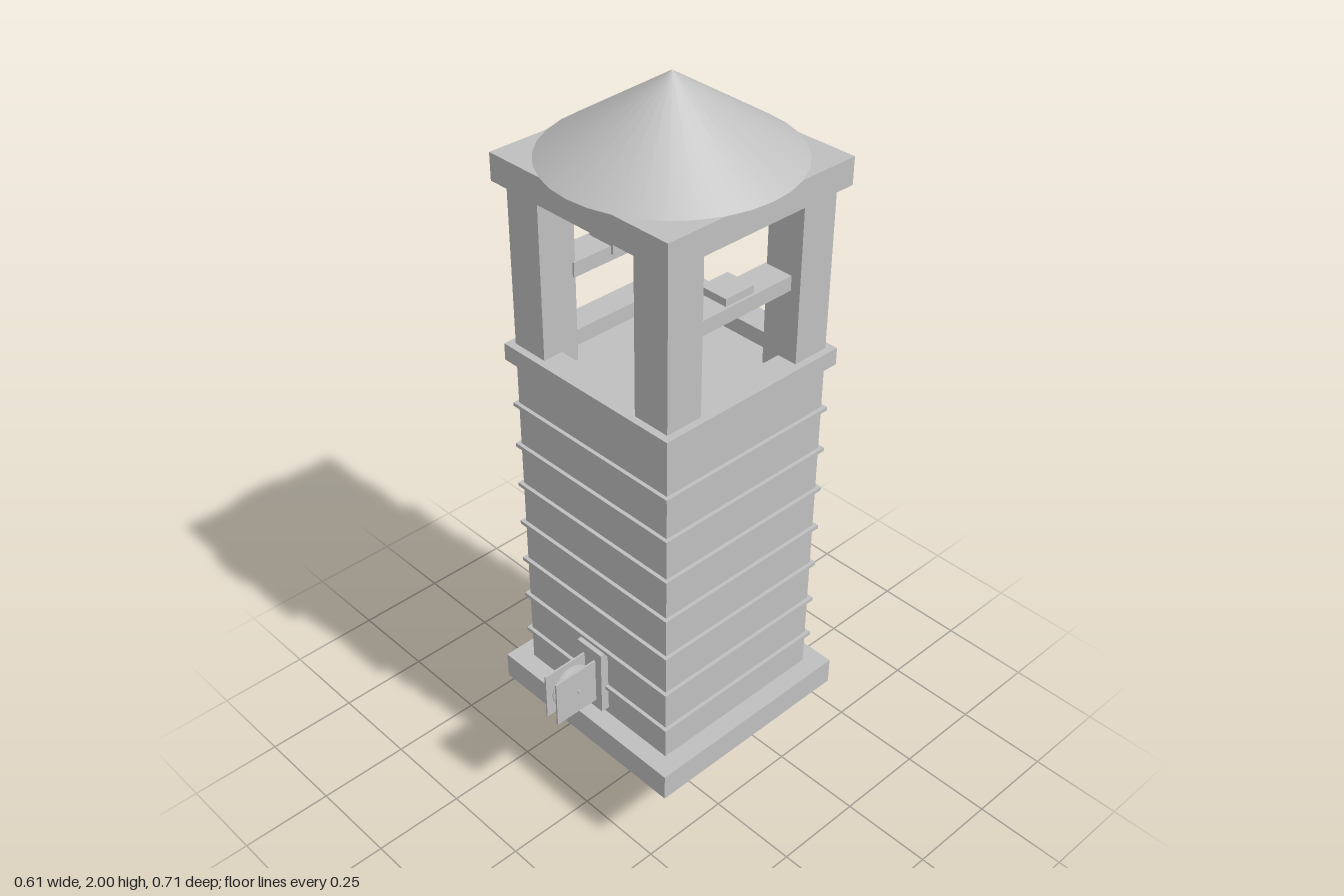
import * as THREE from 'three';
import { toCreasedNormals } from 'three/addons/utils/BufferGeometryUtils.js';

const stone = new THREE.MeshStandardMaterial({ color: 0xbfbfbf });
stone.name = 'light grey';

export function createModel() {
  const model = new THREE.Group();
  model.name = 'bellTower';
  const tower = new THREE.Group();
  tower.name = 'tower';
  tower.position.z = -0.051;
  model.add(tower);

  const add = (parent, name, geometry, x = 0, y = 0, z = 0) => {
    const mesh = new THREE.Mesh(geometry, stone);
    mesh.name = name;
    mesh.position.set(x, y, z);
    parent.add(mesh);
    return mesh;
  };
  // Box given by its bottom and top heights
  const box = (parent, name, w, y0, y1, d, x = 0, z = 0) =>
    add(parent, name, new THREE.BoxGeometry(w, y1 - y0, d), x, (y0 + y1) / 2, z);
  const lathe = (points, segments) => toCreasedNormals(
    new THREE.LatheGeometry(points.map(([r, y]) => new THREE.Vector2(r, y)), segments), 0.6);

  // Base, shaft and raised bands
  box(tower, 'base', 0.61, 0.26, 0.335, 0.61);
  box(tower, 'shaft', 0.508, 0.335, 1.28, 0.508);
  for (let i = 0; i < 7; i++) {
    const y = 0.431 + i * 0.12;
    box(tower, 'band', 0.528, y - 0.005, y + 0.005, 0.528);
  }

  // Ledge: a square frame around the sunken belfry floor
  const ledge = new THREE.Shape();
  const square = (path, h) => path.moveTo(-h, -h).lineTo(h, -h).lineTo(h, h).lineTo(-h, h).closePath();
  square(ledge, 0.273);
  const opening = new THREE.Path();
  square(opening, 0.2);
  ledge.holes.push(opening);
  const frame = new THREE.ExtrudeGeometry(ledge, { depth: 0.045, bevelEnabled: false });
  frame.rotateX(-Math.PI / 2);
  add(tower, 'ledge', frame, 0, 1.277, 0);

  // Belfry pillars, side beams and bearing blocks
  for (const sx of [-1, 1]) {
    for (const sz of [-1, 1]) {
      box(tower, 'pillar', 0.102, 1.28, 1.74, 0.102, sx * 0.203, sz * 0.203);
    }
    box(tower, 'sideBeam', 0.08, 1.505, 1.543, 0.32, sx * 0.187, 0);
    box(tower, 'bearingBlock', 0.08, 1.523, 1.562, 0.086, sx * 0.18, 0.005);
  }

  // Roof slab and cone
  box(tower, 'roofSlab', 0.555, 1.74, 1.808, 0.555);
  add(tower, 'roofCone', new THREE.ConeGeometry(0.3, 0.192, 32), 0, 1.904, 0);

  // Pulley bracket on the front
  const pulley = new THREE.Group();
  pulley.name = 'pulley';
  model.add(pulley);
  box(pulley, 'mountPlate', 0.088, 0.355, 0.547, 0.026, 0, 0.213);
  for (const s of [-1, 1]) box(pulley, 'cheekPlate', 0.005, 0.382, 0.517, 0.131, s * 0.02, 0.29);
  const wheel = lathe([[0, -0.009], [0.06, -0.009], [0.06, -0.007], [0.048, 0],
    [0.06, 0.007], [0.06, 0.009], [0, 0.009]], 32);
  wheel.rotateZ(Math.PI / 2);
  add(pulley, 'grooveWheel', wheel, 0, 0.45, 0.283);
  const axle = new THREE.CylinderGeometry(0.005, 0.005, 0.054, 12);
  axle.rotateZ(Math.PI / 2);
  add(pulley, 'axle', axle, 0, 0.45, 0.283);

  // Bell hung under the base
  const bell = new THREE.Group();
  bell.name = 'bell';
  bell.position.z = 0.004;
  tower.add(bell);
  add(bell, 'bellBody', lathe([[0, 0.19], [0.035, 0.19], [0.043, 0.16], [0.059, 0.1], [0.078, 0.045],
    [0.092, 0], [0.1, 0], [0.085, 0.045], [0.066, 0.1], [0.05, 0.16], [0.043, 0.192],
    [0.043, 0.2], [0.038, 0.206], [0, 0.206]], 32));
  add(bell, 'clapperRod', new THREE.CylinderGeometry(0.004, 0.004, 0.17, 8), 0, 0.11, 0);
  add(bell, 'clapper', new THREE.SphereGeometry(0.016, 16, 12), 0, 0.025, 0);
  for (const s of [-1, 1]) {
    add(bell, 'hanger', new THREE.CylinderGeometry(0.005, 0.005, 0.055, 8), s * 0.03, 0.227, 0);
  }
  box(bell, 'headstock', 0.28, 0.246, 0.261, 0.05);
  const pin = new THREE.CylinderGeometry(0.006, 0.006, 0.31, 12);
  pin.rotateZ(Math.PI / 2);
  add(bell, 'headstockPin', pin, 0, 0.254, 0);

  return model;
}
